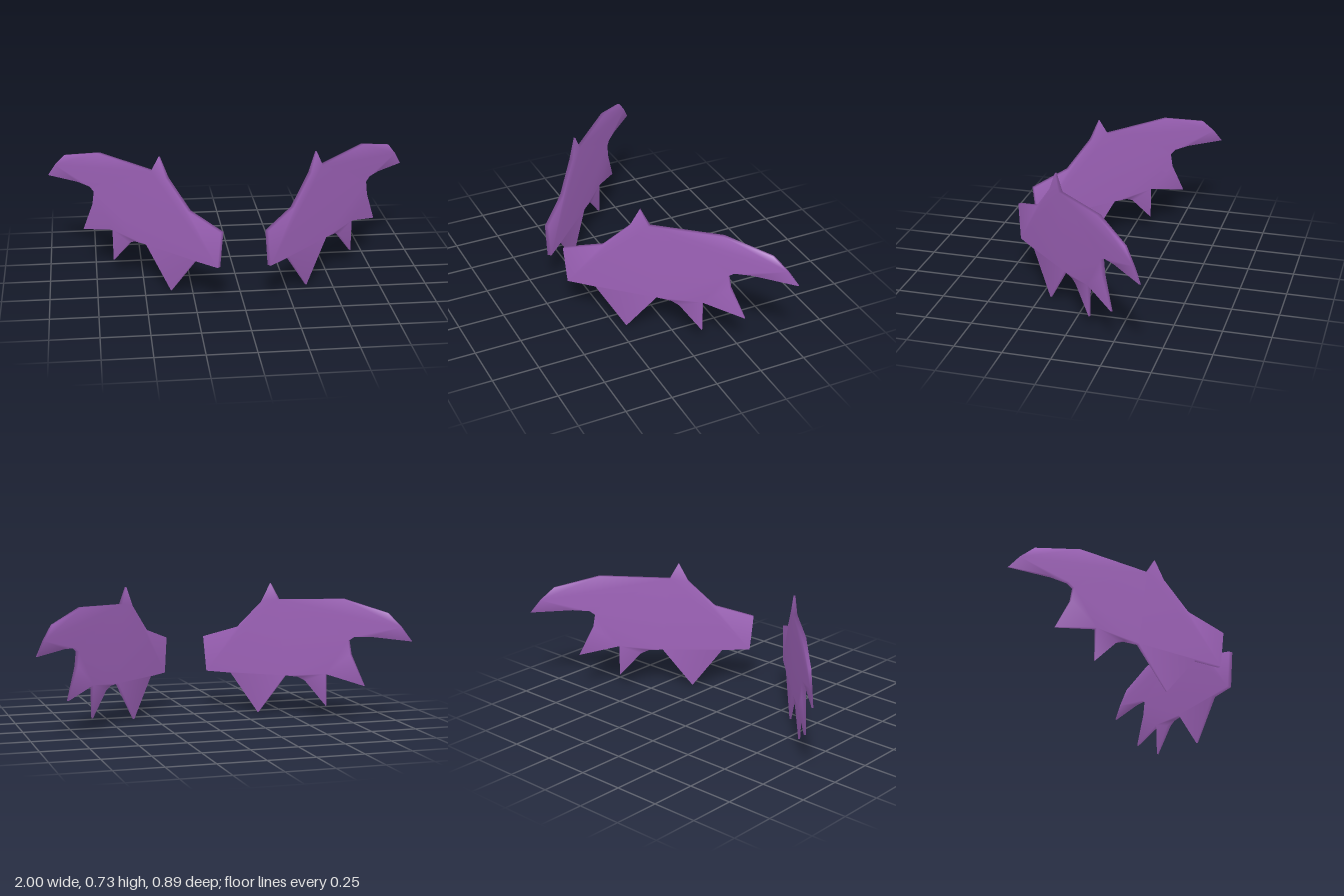
import * as THREE from 'three';

// Wing outline, counter-clockwise from the front: [x, y, half thickness]
const MID = 0.011, TIP = 0.005;
const outline = [
  [0.115, 0.415, MID], [0.13, 0.218, MID], [0.24, 0.218, MID],   // root
  [0.36, 0.005, TIP],                                            // first lower spike
  [0.478, 0.228, MID], [0.535, 0.226, MID], [0.565, 0.208, MID],
  [0.652, 0.077, TIP],                                           // second lower spike
  [0.65, 0.254, MID],
  [0.81, 0.204, TIP],                                            // rear spike
  [0.752, 0.37, MID], [0.743, 0.445, MID], [0.765, 0.467, MID], [0.83, 0.474, 0.009],
  [0.996, 0.463, 0.004],                                         // wing tip
  [0.955, 0.535, 0.005], [0.9, 0.606, 0.007], [0.72, 0.669, MID], // upper edge
  [0.445, 0.648, MID], [0.41, 0.735, TIP], [0.373, 0.63, MID],   // thumb claw
  [0.268, 0.482, MID],
];

// Thin slab swept back at 45 degrees, with normals shared across the rim
function wingGeometry(side) {
  const n = outline.length;
  const positions = [];
  for (const face of [1, -1]) {
    for (const [x, y, half] of outline) {
      const d = face * half * Math.SQRT1_2;
      positions.push(side * (x + d), y, 0.555 - x + d);
    }
  }
  const index = [];
  const tri = (a, b, c) => (side > 0 ? index.push(a, b, c) : index.push(a, c, b));
  const contour = outline.map(([x, y]) => new THREE.Vector2(x, y));
  for (const [a, b, c] of THREE.ShapeUtils.triangulateShape(contour, [])) {
    tri(a, b, c);
    tri(a + n, c + n, b + n);
  }
  // Rim walls
  for (let i = 0; i < n; i++) {
    const j = (i + 1) % n;
    tri(i, i + n, j + n);
    tri(i, j + n, j);
  }
  const geometry = new THREE.BufferGeometry();
  geometry.setAttribute('position', new THREE.Float32BufferAttribute(positions, 3));
  geometry.setIndex(index);
  geometry.computeVertexNormals();
  return geometry;
}

export function createModel() {
  const group = new THREE.Group();
  group.name = 'wings';
  const purple = new THREE.MeshStandardMaterial({ color: 0x9f63ba });
  purple.name = 'purple';
  for (const [name, side] of [['leftWing', 1], ['rightWing', -1]]) {
    const wing = new THREE.Mesh(wingGeometry(side), purple);
    wing.name = name;
    group.add(wing);
  }
  return group;
}
